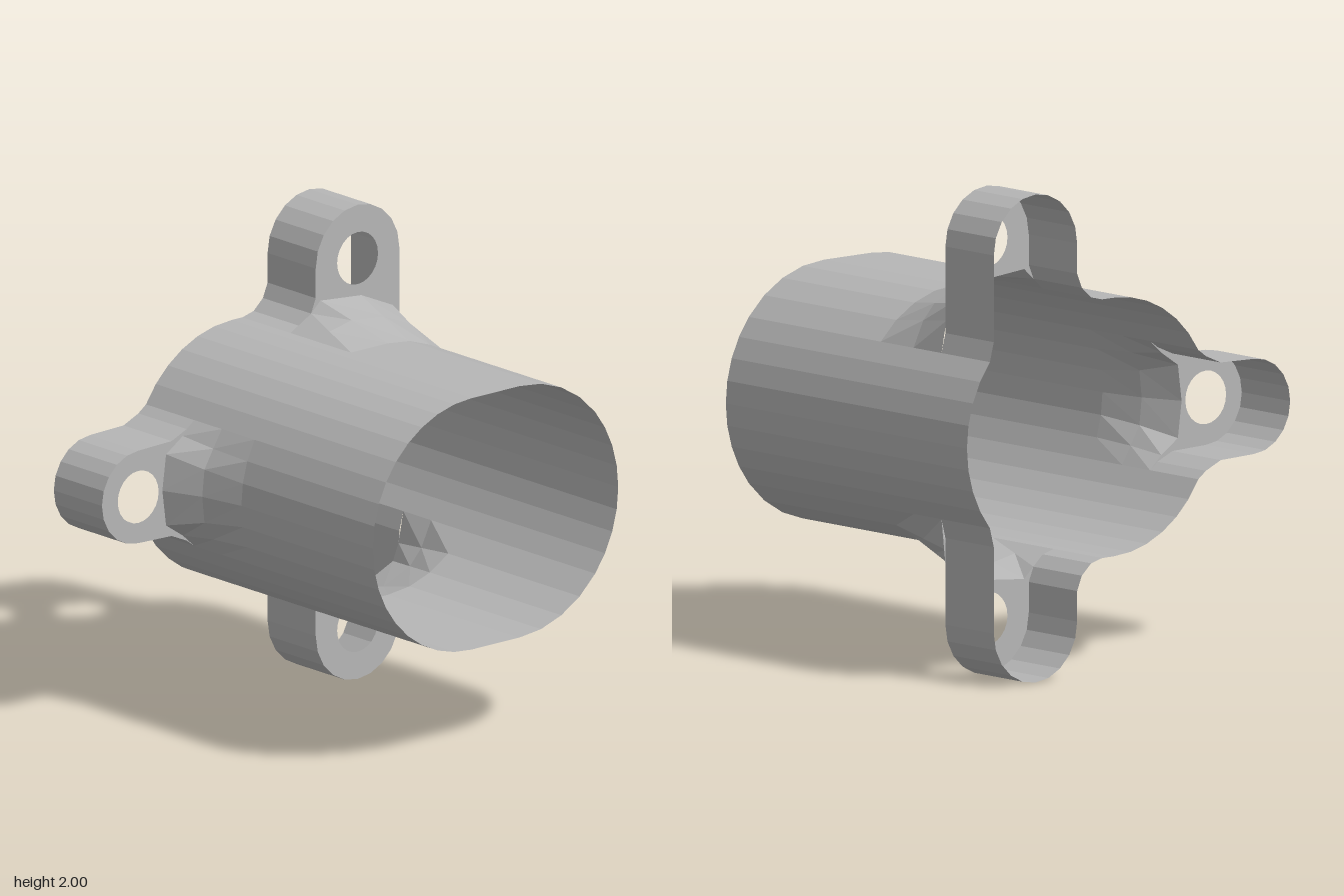
import * as THREE from 'three';

const FRONT = 0.735, RAMP = -0.07, MID = -0.27, PLATE = -0.44, BACK = -0.735;
const grey = new THREE.MeshStandardMaterial({ color: 0xb6b6b6, flatShading: true, side: THREE.DoubleSide });
grey.name = 'grey';

// points on an arc, angles in degrees; y is measured from the tube axis
function arc(cx, cy, r, from, to, n) {
  return Array.from({ length: n + 1 }, (_, i) => {
    const a = THREE.MathUtils.degToRad(from + (to - from) * i / n);
    return [cx + r * Math.cos(a), cy + r * Math.sin(a)];
  });
}
const flip = list => list.map(([x, y]) => [x, -y]).reverse();
const blend = (a, b, t) => a.map((p, i) => [p[0] + (b[i][0] - p[0]) * t, p[1] + (b[i][1] - p[1]) * t]);

// surface through open cross-sections, each given as [points, z]
function loft(name, rings) {
  const pos = [];
  const tri = (a, b, c) => {
    if (new THREE.Triangle(a, b, c).getArea() > 1e-7) for (const v of [a, b, c]) pos.push(v.x, v.y, v.z);
  };
  for (let k = 0; k < rings.length - 1; k++) {
    const [A, B] = [rings[k], rings[k + 1]].map(([pts, z]) => pts.map(p => new THREE.Vector3(p[0], p[1] + 1, z)));
    for (let i = 0; i < A.length - 1; i++) {
      tri(A[i], B[i], B[i + 1]);
      tri(A[i], B[i + 1], A[i + 1]);
    }
  }
  const g = new THREE.BufferGeometry();
  g.setAttribute('position', new THREE.Float32BufferAttribute(pos, 3));
  g.computeVertexNormals();
  const m = new THREE.Mesh(g, grey);
  // outward winding for sections running anticlockwise
  m.name = name;
  return m;
}

// flat lug face with its bolt hole
function lugFace(name, pts, hx, hy) {
  const shape = new THREE.Shape(pts.map(p => new THREE.Vector2(p[0], p[1])));
  shape.holes.push(new THREE.Path(arc(hx, hy, 0.11, 0, -345, 23).map(p => new THREE.Vector2(p[0], p[1]))));
  const m = new THREE.Mesh(new THREE.ShapeGeometry(shape), grey);
  m.position.set(0, 1, PLATE);
  m.name = name;
  return m;
}

// one lug: tube wall in front of it, flared ramp, drilled face, open-backed skirt
function lug(name, base, ramp, outline, face, hx, hy, midBlend) {
  const g = new THREE.Group();
  g.name = name;
  g.add(
    loft(name + 'TubeWall', [[base, FRONT], [base, RAMP]]),
    loft(name + 'Ramp', [[base, RAMP], [blend(base, ramp, midBlend), MID], [ramp, PLATE]]),
    loft(name + 'Skirt', [[outline, PLATE], [outline, BACK]]),
    lugFace(name + 'Face', face, hx, hy)
  );
  return g;
}

export function createModel() {
  const model = new THREE.Group();
  model.name = 'flangedTube';

  // plain tube walls between the lugs
  const rightArc = arc(0.34, 0, 0.53, -40, 40, 8);
  const topArc = [[0.14, 0.53], ...arc(0.08, 0, 0.53, 90, 150, 6)];
  model.add(
    loft('sideWall', [[rightArc, FRONT], [rightArc, BACK]]),
    loft('upperWall', [[topArc, FRONT], [topArc, BACK]]),
    loft('lowerWall', [[flip(topArc), FRONT], [flip(topArc), BACK]])
  );

  // upper lug and its mirror image below
  const corner = rightArc[8];
  const base = [...arc(0.34, 0, 0.53, 40, 90, 4), [0.14, 0.53], [0.14, 0.53]];
  const ramp = [corner, [0.72, 0.47], [0.69, 0.54], [0.52, 0.615], [0.3, 0.635], [0.25, 0.59], [0.14, 0.53]];
  const outline = [corner, [0.725, 0.42], ...arc(0.5, 0.775, 0.225, 0, 180, 10),
    [0.275, 0.65], [0.25, 0.59], [0.2, 0.545], [0.14, 0.53]];
  const face = [...outline.slice(0, -2), ...ramp.slice(1, 5).reverse()];
  model.add(
    lug('upperLug', base, ramp, outline, face, 0.5, 0.775, 0.54),
    lug('lowerLug', flip(base), flip(ramp), flip(outline), flip(face), 0.5, -0.775, 0.54)
  );

  // side lug, symmetric about the tube axis
  const sBase = arc(0.08, 0, 0.53, 150, 210, 6);
  const half = [sBase[0], [-0.44, 0.21], [-0.53, 0.15]];
  const sRamp = [...half, [-0.55, 0], ...flip(half)];
  const edge = [sBase[0], [-0.42, 0.235], [-0.5, 0.2]];
  const sOutline = [...edge, ...arc(-0.68, 0, 0.195, 90, 270, 10), ...flip(edge)];
  const sFace = [...sOutline, ...sRamp.slice(1, -1).reverse()];
  model.add(lug('sideLug', sBase, sRamp, sOutline, sFace, -0.68, 0, 0.35));

  return model;
}
